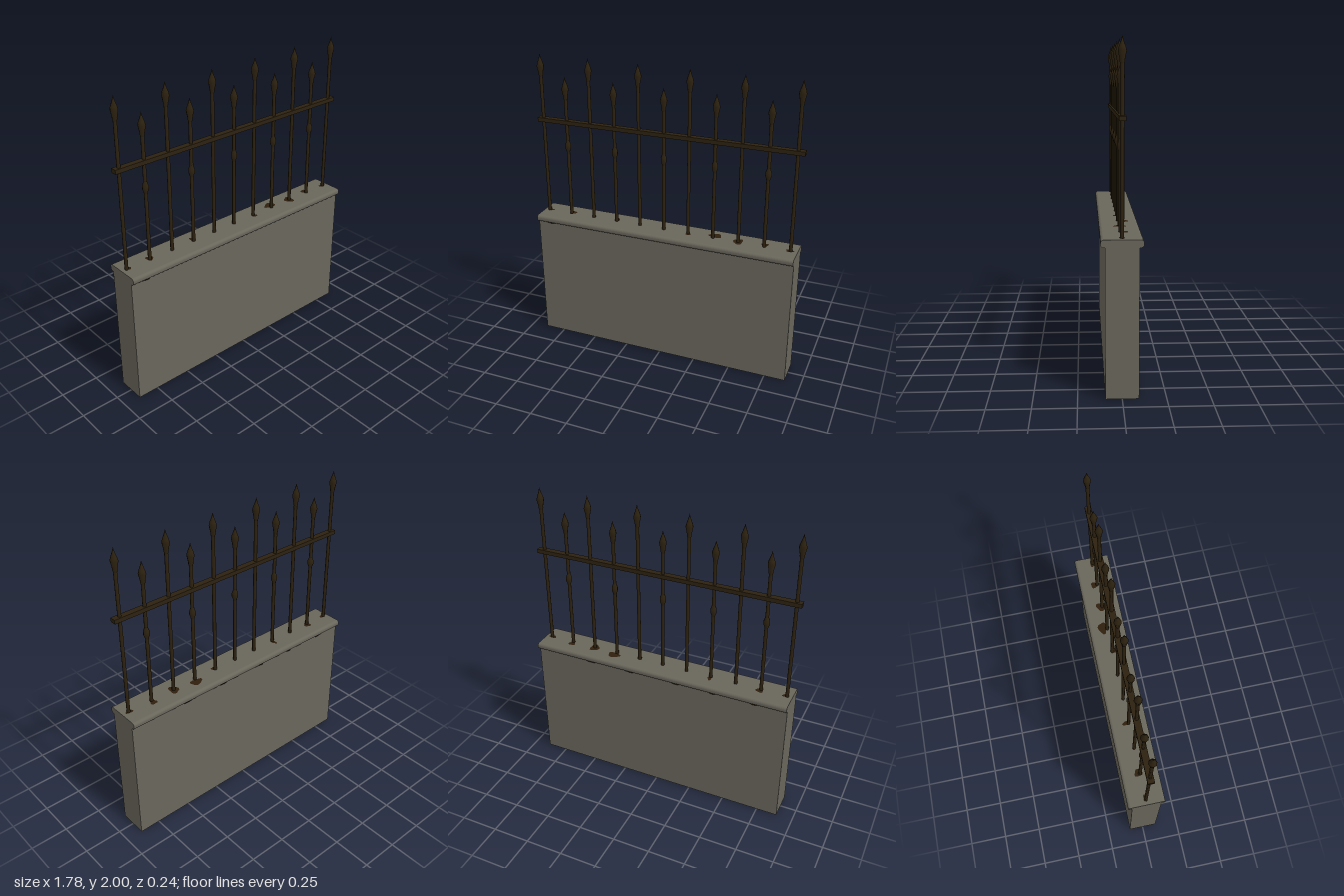
import * as THREE from 'three';

export function createModel() {
  const model = new THREE.Group();
  const material = (name, color, side = THREE.FrontSide) => {
    const m = new THREE.MeshStandardMaterial({ color, side });
    m.name = name;
    return m;
  };
  const stone = material('stone', 0x69665b, THREE.DoubleSide);
  const iron = material('iron', 0x2d2210);
  const rust = material('rust', 0x2e1e0c, THREE.DoubleSide);

  const add = (name, geometry, mat, x = 0, y = 0, z = 0, parent = model) => {
    const mesh = new THREE.Mesh(geometry, mat);
    mesh.name = name;
    mesh.position.set(x, y, z);
    parent.add(mesh);
    return mesh;
  };

  // Hollow wall, open at the bottom: drop the box's downward face
  const wall = new THREE.BoxGeometry(1.78, 0.88, 0.19);
  const indices = Array.from(wall.index.array);
  indices.splice(18, 6);
  wall.setIndex(indices);
  wall.clearGroups();
  add('wall', wall, stone, 0, 0.44, 0);

  // Coping with rounded long edges, extruded along x
  const w = 0.12, h = 0.045, r = 0.019;
  const profile = new THREE.Shape();
  profile.moveTo(-w + r, 0);
  profile.lineTo(w - r, 0);
  profile.absarc(w - r, r, r, -Math.PI / 2, 0);
  profile.absarc(w - r, h - r, r, 0, Math.PI / 2);
  profile.lineTo(-w + r, h);
  profile.absarc(-w + r, h - r, r, Math.PI / 2, Math.PI);
  profile.absarc(-w + r, r, r, Math.PI, Math.PI * 1.5);
  const coping = new THREE.ExtrudeGeometry(profile, { depth: 1.78, bevelEnabled: false, curveSegments: 5 });
  coping.translate(0, 0, -0.89).rotateY(Math.PI / 2);
  add('coping', coping, stone, 0, 0.865, 0);

  // Horizontal rail
  add('rail', new THREE.BoxGeometry(1.78, 0.027, 0.04), iron, 0, 1.565, 0);

  // Alternating tall and short pickets with spear heads
  const lathe = (points) => new THREE.LatheGeometry(points.map(([x, y]) => new THREE.Vector2(x, y)), 8);
  const spear = lathe([
    [0.011, -0.15], [0.015, -0.135], [0.015, -0.125], [0.024, -0.08],
    [0.019, -0.06], [0.008, -0.03], [0, 0],
  ]);
  const knot = lathe([
    [0.011, -0.045], [0.013, -0.03], [0.02, -0.012], [0.02, 0.012], [0.013, 0.03], [0.011, 0.045],
  ]);
  for (let i = 0; i < 11; i++) {
    const tall = i % 2 === 0;
    const top = tall ? 2 : 1.865;
    const picket = new THREE.Group();
    picket.name = tall ? 'tallPicket' : 'shortPicket';
    picket.position.x = -0.855 + i * 0.17;
    const length = top - 0.14 - 0.9;
    add('shaft', new THREE.CylinderGeometry(0.0115, 0.0115, length, 8), iron, 0, 0.9 + length / 2, 0, picket);
    add('spearHead', spear, iron, 0, top, 0, picket);
    if (!tall) add('knot', knot, iron, 0, 1.4, 0, picket);
    model.add(picket);
  }

  // Irregular thin rust patch lying flat
  const patch = (rx, rz, phase) => {
    const shape = new THREE.Shape();
    for (let i = 0; i < 14; i++) {
      const a = (i / 14) * Math.PI * 2;
      const k = 0.85 + 0.15 * Math.sin(a * 3 + phase);
      const x = Math.cos(a) * rx * k, z = Math.sin(a) * rz * k;
      if (i) shape.lineTo(x, z); else shape.moveTo(x, z);
    }
    return new THREE.ShapeGeometry(shape).rotateX(-Math.PI / 2);
  };

  // Rust around the picket feet: x, z, half width, half depth
  [
    [-0.84, 0, 0.02, 0.016], [-0.68, -0.01, 0.028, 0.03], [-0.345, -0.015, 0.016, 0.03],
    [0.17, 0.01, 0.02, 0.022], [0.345, -0.03, 0.05, 0.033], [0.505, -0.003, 0.036, 0.044],
    [0.675, -0.02, 0.026, 0.028], [0.84, 0, 0.03, 0.018],
  ].forEach(([x, z, rx, rz], i) => add('footRust', patch(rx, rz, i), rust, x, 0.9115, z));

  // Small rust spots beneath the overhang
  [
    [0.48, -0.103], [0.19, -0.103], [-0.14, -0.103], [-0.4, -0.103], [-0.68, -0.103], [-0.79, 0.103],
  ].forEach(([x, z], i) => add('overhangRust', patch(0.035, 0.01, i), rust, x, 0.863, z));

  return model;
}
